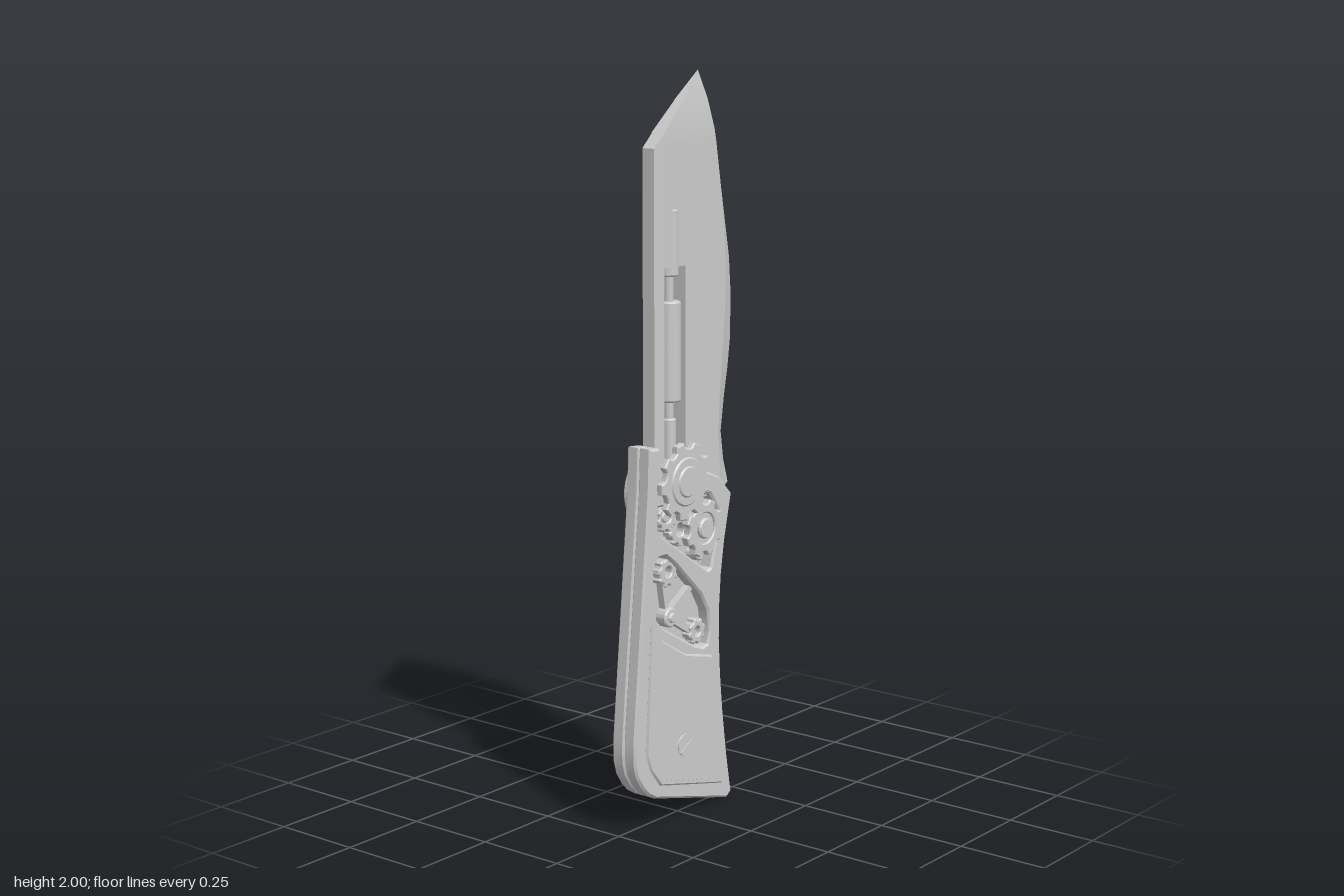
import * as THREE from 'three';
import { toCreasedNormals } from 'three/addons/utils/BufferGeometryUtils.js';

// Side profiles are drawn as [s, y] with s = -z, and extruded along x.
const material = new THREE.MeshStandardMaterial({ color: 0xcccccc });
const vecs = (pts) => pts.map(([s, y]) => new THREE.Vector2(s, y));

export function createModel() {
  const model = new THREE.Group();

  const add = (name, geo, crease = 0.5) => {
    const mesh = new THREE.Mesh(toCreasedNormals(geo, crease), material);
    mesh.name = name;
    model.add(mesh);
    return mesh;
  };

  // Plate between x0 and x1, bevelled inside its outline
  const plate = (name, pts, x0, x1, bevel = 0.004, holes = []) => {
    const shape = new THREE.Shape(vecs(pts));
    holes.forEach((h) => shape.holes.push(new THREE.Path(vecs(h))));
    const geo = new THREE.ExtrudeGeometry(shape, {
      depth: x1 - x0 - 2 * bevel, bevelEnabled: bevel > 0, bevelSegments: 1,
      bevelThickness: bevel, bevelSize: bevel, bevelOffset: -bevel,
    });
    geo.translate(0, 0, x0 + bevel).rotateY(Math.PI / 2);
    return add(name, geo);
  };

  const circle = (s, y, r, n = 32, from = 0, sweep = Math.PI * 2) =>
    Array.from({ length: n }, (_, i) => {
      const a = from + (sweep * i) / (sweep < 6 ? n - 1 : n);
      return [s + r * Math.cos(a), y + r * Math.sin(a)];
    });

  // Chamfered disc pointing along +x or -x
  const disc = (name, s, y, r, x0, x1, c = 0.004) => {
    const h = Math.abs(x1 - x0);
    const geo = new THREE.LatheGeometry(vecs([[0, 0], [r, 0], [r, h - c], [r - c, h], [0, h]]), 36);
    geo.rotateZ(x1 > x0 ? -Math.PI / 2 : Math.PI / 2).translate(x0, y, -s);
    return add(name, geo);
  };

  const gear = (name, s, y, r, teeth, x0, x1, hole, turn = 0) => {
    const pts = [];
    for (let i = 0; i < teeth; i++) {
      [[0, 0.85], [0.12, 1], [0.5, 1], [0.62, 0.85], [0.81, 0.82]].forEach(([f, k]) => {
        const a = turn + ((i + f) / teeth) * Math.PI * 2;
        pts.push([s + r * k * Math.cos(a), y + r * k * Math.sin(a)]);
      });
    }
    return plate(name, pts, x0, x1, 0.003, [circle(s, y, hole)]);
  };

  // Slotted head made of two half discs over a base
  const screw = (name, s, y, r, x0, x1, turn) => {
    const side = Math.sign(x1 - x0);
    disc(name + 'Base', s, y, r, x0, x1 - side * 0.003, 0.001);
    for (const flip of [0, Math.PI]) {
      const half = circle(s, y, r * 0.95, 16, turn + flip + 0.2, Math.PI - 0.4);
      plate(name + 'Head', half, Math.min(x0, x1), Math.max(x0, x1), 0);
    }
  };

  // Blade rows: y, spine, grind line, edge
  const rows = [
    [0.87, -0.12, 0.15, 0.2], [0.885, -0.12, 0.155, 0.22], [0.95, -0.12, 0.152, 0.2],
    [1.03, -0.12, 0.146, 0.188], [1.13, -0.12, 0.15, 0.203], [1.2, -0.12, 0.157, 0.217],
    [1.28, -0.12, 0.165, 0.228], [1.4, -0.12, 0.175, 0.23], [1.5, -0.12, 0.173, 0.222],
    [1.58, -0.12, 0.168, 0.207], [1.7, -0.12, 0.152, 0.184], [1.81, -0.12, 0.133, 0.154],
    [1.847, -0.08, 0.125, 0.143], [1.926, 0.005, 0.107, 0.117], [2, 0.085, 0.085, 0.085],
  ];
  const pos = [];
  const quad = (a, b, c, d) => pos.push(...a, ...b, ...c, ...a, ...c, ...d);
  const grid = rows.map(([y, spine, grind, edge]) => {
    const k = Math.min(1, (2 - y) / 0.12);
    const cols = [spine, Math.max(spine, -0.08), Math.max(spine, 0.005), grind, edge];
    return cols.map((s, i) => [[0.019, 0.021, 0.023, 0.025, 0][i] * k, y, -s]);
  });
  const flip = ([x, y, z]) => [-x, y, z];
  for (let i = 0; i < grid.length - 1; i++) {
    const [lo, hi] = [grid[i], grid[i + 1]];
    const slot = rows[i][0] >= 0.95 && rows[i + 1][0] <= 1.5;
    for (let j = 0; j < 4; j++) {
      if (slot && j === 1) continue;
      quad(lo[j], lo[j + 1], hi[j + 1], hi[j]);
      quad(flip(hi[j]), flip(hi[j + 1]), flip(lo[j + 1]), flip(lo[j]));
    }
    quad(flip(lo[0]), lo[0], hi[0], flip(hi[0]));
    if (slot) {
      quad(flip(hi[1]), hi[1], lo[1], flip(lo[1]));
      quad(flip(lo[2]), lo[2], hi[2], flip(hi[2]));
    }
  }
  for (let j = 0; j < 4; j++) { // heel
    const [a, b] = [grid[0][j], grid[0][j + 1]];
    quad(flip(a), flip(b), b, a);
  }
  const top = grid[8]; // upper end of the slot
  quad(flip(top[1]), flip(top[2]), top[2], top[1]);
  const bladeGeo = new THREE.BufferGeometry();
  bladeGeo.setAttribute('position', new THREE.Float32BufferAttribute(pos, 3));
  add('blade', bladeGeo, 0.15);

  // Piston in the blade slot
  const rod = (name, r, y0, y1, c = 0.004) => {
    const pts = vecs([[0, y0], [r - c, y0], [r, y0 + c], [r, y1 - c], [r - c, y1], [0, y1]]);
    add(name, new THREE.LatheGeometry(pts, 24).translate(0, 0, 0.037));
  };
  rod('pistonRod', 0.013, 0.93, 1.5);
  rod('pistonCollar', 0.019, 0.98, 1.1);
  rod('pistonBarrel', 0.032, 1.145, 1.41);
  rod('pistonSocket', 0.026, 1.475, 1.65);

  // Handle
  const outline = [
    [-0.165, 1.04], [-0.17, 0.92], [-0.2, 0.6], [-0.222, 0.37], [-0.232, 0.26], [-0.232, 0.2],
    [-0.222, 0.165], [-0.2, 0.13], [-0.175, 0.105], [-0.145, 0.087], [0.17, 0.003], [0.19, 0.018],
    [0.168, 0.14], [0.15, 0.27], [0.14, 0.37], [0.134, 0.47], [0.135, 0.56], [0.142, 0.65],
    [0.156, 0.74], [0.185, 0.865], [0.13, 0.92], [0.06, 0.95], [-0.105, 1.0], [-0.125, 1.037],
  ];
  const gearWindow = [[-0.13, 0.88], [-0.13, 0.82], [-0.115, 0.8], [0.08, 0.67], [0.095, 0.675],
    [0.13, 0.8], [0.125, 0.83], [0.09, 0.88]];
  const wheelWindow = [[-0.15, 0.72], [-0.152, 0.62], [-0.14, 0.58], [-0.11, 0.55], [0.02, 0.475],
    [0.06, 0.46], [0.08, 0.465], [0.09, 0.5], [0.08, 0.56], [0.05, 0.61], [-0.06, 0.715], [-0.1, 0.745],
    [-0.13, 0.745]];
  plate('handleBack', outline, -0.037, 0.004, 0.006);
  plate('handleFront', outline, 0.002, 0.042, 0.006, [gearWindow, wheelWindow]);

  // Raised grip panels
  const lower = [[-0.19, 0.22], [-0.17, 0.17], [-0.13, 0.12], [0.14, 0.055], [0.12, 0.18],
    [0.103, 0.34], [0.097, 0.43]];
  plate('gearSidePanel', [...lower, [0.07, 0.438], [-0.02, 0.46], [-0.12, 0.52], [-0.165, 0.58]],
    0.038, 0.048, 0.005);
  plate('plainSidePanel', [...lower, [0.095, 0.54], [0.108, 0.68], [0.135, 0.79], [0.04, 0.84],
    [-0.13, 0.87], [-0.16, 0.6]], -0.047, -0.033, 0.005);
  for (let i = 0; i < 22; i++) {
    const t = i / 21;
    for (const x of [0.048, -0.047]) {
      const bead = new THREE.BoxGeometry(0.002, 0.005, 0.006);
      bead.translate(x, 0.137 - 0.062 * t, 0.13 - 0.25 * t);
      add('panelBead', bead);
    }
  }
  screw('gearSideScrew', -0.03, 0.21, 0.03, 0.046, 0.052, 0.5);
  screw('plainSideLowerScrew', -0.03, 0.21, 0.03, -0.045, -0.052, 0.9);
  screw('plainSideUpperScrew', -0.05, 0.655, 0.03, -0.045, -0.052, 0.9);

  // Pivot cap on the plain side
  disc('pivotCap', -0.04, 0.905, 0.113, -0.034, -0.064, 0.008);
  disc('pivotCapFace', -0.04, 0.905, 0.07, -0.062, -0.069, 0.003);
  plate('pivotCapBar', [[-0.085, 0.86], [-0.08, 0.855], [0.005, 0.95], [0, 0.955]], -0.072, -0.066, 0.001);

  // Gear train
  gear('mainGear', -0.037, 0.937, 0.105, 9, 0.042, 0.062, 0.06, 0.2);
  disc('mainGearHub', -0.037, 0.937, 0.066, 0.03, 0.066);
  disc('mainGearAxle', -0.037, 0.937, 0.042, 0.06, 0.07);
  gear('secondGear', 0.053, 0.793, 0.078, 8, 0.03, 0.054, 0.042, 0.1);
  disc('secondGearHub', 0.053, 0.793, 0.046, 0.002, 0.048);
  disc('secondGearAxle', 0.053, 0.793, 0.028, 0.04, 0.058);
  gear('smallGear', -0.085, 0.845, 0.04, 8, 0.004, 0.036, 0.015);
  gear('idlerGear', -0.025, 0.8, 0.045, 9, 0.004, 0.03, 0.018, 0.3);
  disc('gearPin', -0.1, 0.85, 0.015, 0.002, 0.042);
  disc('gearStop', 0.045, 0.72, 0.016, 0.002, 0.044);

  // Spoked wheel in the lower window
  disc('wheelHub', -0.07, 0.57, 0.027, 0.002, 0.036);
  disc('wheelAxle', -0.07, 0.57, 0.014, 0.03, 0.042);
  [[0.55, 0.13], [1.75, 0.13], [-0.55, 0.14]].forEach(([a, len]) => {
    const spoke = new THREE.BoxGeometry(0.02, 0.016, len).translate(0, 0, -len / 2);
    spoke.rotateX(a).translate(0.014, 0.57, 0.07);
    add('wheelSpoke', spoke);
  });
  gear('upperWheelGear', -0.075, 0.695, 0.042, 9, 0.002, 0.03, 0.015);
  gear('lowerWheelGear', 0.05, 0.505, 0.036, 8, 0.002, 0.03, 0.013);

  return model;
}
